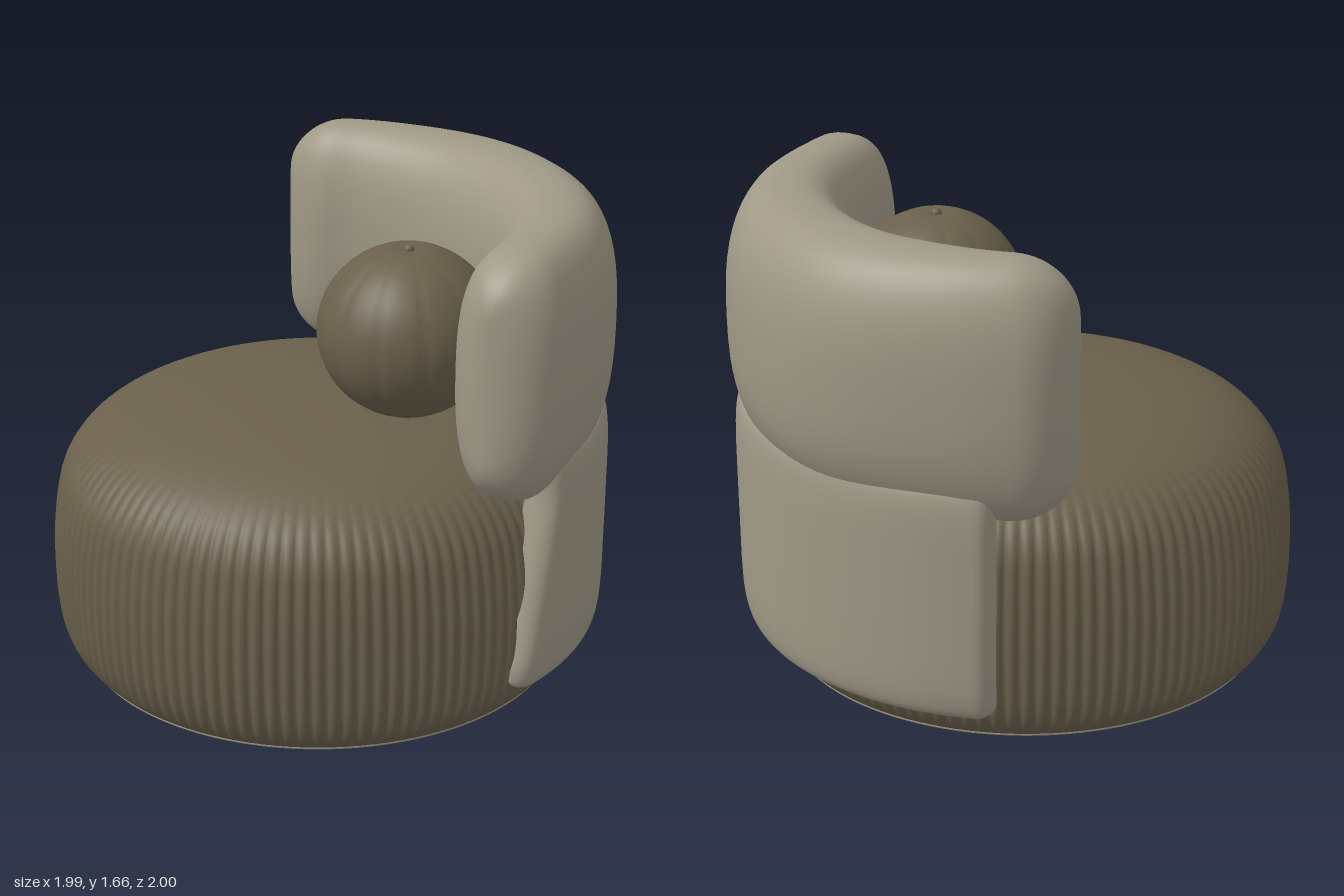
import * as THREE from 'three';
import { mergeVertices } from 'three/addons/utils/BufferGeometryUtils.js';

const { lerp, clamp, smoothstep, degToRad } = THREE.MathUtils;

// Smooth closed skin over a grid of points: rows are stations, columns go round each section.
function loft(stations, around, pointAt) {
  const pos = [], idx = [];
  for (let i = 0; i <= stations; i++) {
    const t = (1 - Math.cos(Math.PI * i / stations)) / 2; // denser near both ends
    for (let k = 0; k < around; k++) pos.push(...pointAt(t, k / around * Math.PI * 2).toArray());
  }
  for (let i = 0; i < stations; i++) {
    for (let k = 0; k < around; k++) {
      const a = i * around + k, b = i * around + (k + 1) % around;
      idx.push(a, b, a + around, b, b + around, a + around);
    }
  }
  const geo = new THREE.BufferGeometry();
  geo.setAttribute('position', new THREE.Float32BufferAttribute(pos, 3));
  geo.setIndex(idx);
  geo.computeVertexNormals();
  return geo;
}

// Move every vertex by a rule, then smooth across seams.
function reshape(source, rule) {
  source.deleteAttribute('normal');
  source.deleteAttribute('uv');
  const geo = mergeVertices(source, 1e-5);
  const p = geo.attributes.position, v = new THREE.Vector3();
  for (let i = 0; i < p.count; i++) {
    rule(v.fromBufferAttribute(p, i));
    p.setXYZ(i, v.x, v.y, v.z);
  }
  geo.computeVertexNormals();
  return geo;
}

const superCos = (a, n) => Math.sign(Math.cos(a)) * Math.abs(Math.cos(a)) ** (2 / n);
const superSin = (a, n) => Math.sign(Math.sin(a)) * Math.abs(Math.sin(a)) ** (2 / n);
// Quarter-circle rise from 0 to 1 over distance r, used to round the ends.
const rounded = (d, r) => Math.sqrt(Math.max(0, 1 - (1 - clamp(d / r, 0, 1)) ** 2));

// Round pouf with vertical ribs fading out on the crown
function seatGeometry() {
  const profile = new THREE.SplineCurve([
    [0.853, 0], [0.895, 0.05], [0.925, 0.13], [0.938, 0.25], [0.938, 0.42], [0.92, 0.58],
    [0.885, 0.7], [0.8, 0.8], [0.65, 0.875], [0.45, 0.92], [0.22, 0.945], [0, 0.95],
  ].map(([r, y]) => new THREE.Vector2(r, y))).getPoints(36);
  profile[profile.length - 1].x = 0;
  const ribs = 116;
  return reshape(new THREE.LatheGeometry(profile, ribs * 6), (v) => {
    const r = Math.hypot(v.x, v.z);
    if (r < 0.01) return;
    const wave = Math.abs(Math.sin(Math.atan2(v.z, v.x) * ribs / 2)) - 0.6;
    const fade = smoothstep(v.y, 0, 0.1) * (1 - smoothstep(v.y, 0.6, 0.88));
    const k = 1 + 0.016 * wave * fade / r;
    v.x *= k;
    v.z *= k;
  });
}

// Thick curved backrest, one end sweeping forward as an arm
function backrestGeometry() {
  const path = new THREE.CatmullRomCurve3([
    [-0.83, -0.42], [-0.55, -0.63], [-0.15, -0.755], [0.27, -0.665],
    [0.59, -0.42], [0.77, -0.12], [0.86, 0.125],
  ].map(([x, z]) => new THREE.Vector3(x, 1.23, z)));
  const length = path.getLength();
  return loft(90, 56, (t, a) => {
    const c = path.getPointAt(t), T = path.getTangentAt(t);
    const d = Math.min(t, 1 - t) * length;
    const full = t < 0.4 ? lerp(0.165, 0.243, smoothstep(t, 0, 0.4)) : lerp(0.243, 0.185, smoothstep(t, 0.4, 1));
    const w = full * rounded(d, 0.18);
    const h = 0.432 * lerp(0.55, 1, rounded(d, 0.22));
    const s = superCos(a, 2.6) * w;
    return new THREE.Vector3(c.x + T.z * s, c.y + superSin(a, 2.6) * h, c.z - T.x * s);
  });
}

// Upholstered shell wrapping the rear of the seat, with a slanted front edge
function shellGeometry() {
  return loft(80, 48, (t, a) => {
    const d = Math.min(t, 1 - t) * 2.2;
    const y = 0.53 + 0.41 * superSin(a, 6) * lerp(0.9, 1, rounded(d, 0.07));
    const start = 4 + 7.5 * clamp((y - 0.2) / 0.6, 0, 1);
    const theta = degToRad(lerp(132, start, t));
    const r = 0.925 + 0.02 * Math.sin(theta) + 0.072 * superCos(a, 4) * rounded(d, 0.06);
    return new THREE.Vector3(-0.06 + r * Math.cos(theta), y, 0.06 - r * Math.sin(theta));
  });
}

// Ball cushion with shallow gores and dimpled poles
function ballGeometry() {
  return reshape(new THREE.SphereGeometry(0.31, 96, 48), (v) => {
    const r = Math.hypot(v.x, v.z);
    const groove = Math.abs(Math.sin(Math.atan2(v.z, v.x) * 6));
    const pinch = 1 - 0.02 * (1 - groove) ** 3 * smoothstep(r, 0, 0.12);
    v.x *= pinch;
    v.z *= pinch;
    v.y *= 0.965 - 0.05 * (1 - smoothstep(r, 0, 0.1));
  });
}

export function createModel() {
  const brown = new THREE.MeshStandardMaterial({ color: 0x6a604c });
  brown.name = 'brown fabric';
  const stone = new THREE.MeshStandardMaterial({ color: 0x9f9886 });
  stone.name = 'stone fabric';

  const model = new THREE.Group();
  model.name = 'lounge chair';
  const add = (name, geometry, material, x = 0, y = 0, z = 0) => {
    const mesh = new THREE.Mesh(geometry, material);
    mesh.name = name;
    mesh.position.set(x, y, z);
    model.add(mesh);
    return mesh;
  };

  add('seat', seatGeometry(), brown, -0.06, 0, 0.06);
  add('base', new THREE.CylinderGeometry(0.853, 0.853, 0.01, 96), brown, -0.06, 0.005, 0.06);
  add('baseTrim', new THREE.TorusGeometry(0.856, 0.008, 8, 120), stone, -0.06, 0.008, 0.06).rotation.x = Math.PI / 2;
  add('backrest', backrestGeometry(), stone);
  add('rearShell', shellGeometry(), stone);
  add('ballCushion', ballGeometry(), brown, 0.235, 1.21, -0.09);
  add('ballButton', new THREE.SphereGeometry(0.02, 16, 10), brown, 0.235, 1.495, -0.09);

  return model;
}
